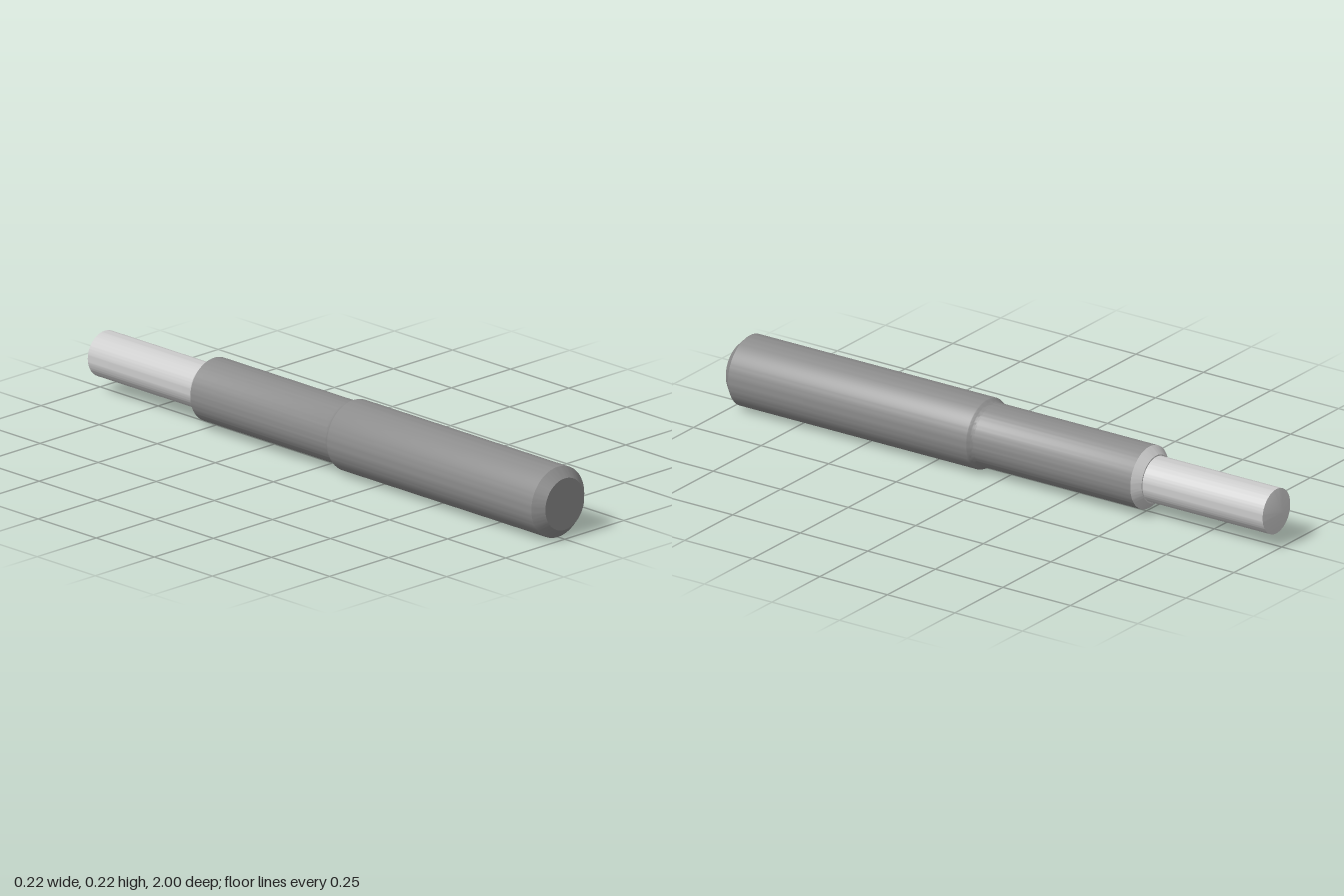
import * as THREE from 'three';
import { toCreasedNormals } from 'three/addons/utils/BufferGeometryUtils.js';

const AXIS_HEIGHT = 0.112;

// Revolve a profile of [radius, z] points, listed back to front, around the z axis
function turned(name, profile, color) {
  const points = profile.map(([r, z]) => new THREE.Vector2(r, z));
  const geometry = toCreasedNormals(new THREE.LatheGeometry(points, 96), 0.5);
  geometry.rotateX(Math.PI / 2);
  const mesh = new THREE.Mesh(geometry, new THREE.MeshStandardMaterial({ color }));
  mesh.name = name;
  mesh.position.y = AXIS_HEIGHT;
  return mesh;
}

export function createModel() {
  const group = new THREE.Group();
  group.name = 'steppedPin';

  // Bright tip: shallow point, straight pilot and bevelled shoulder
  group.add(turned('pilotTip', [
    [0, -1], [0.072, -0.98], [0.072, -0.535], [0.076, -0.535], [0.1, -0.51],
  ], 0xcccccc));

  // Dark body: neck, softly blended step, thicker shank and chamfered flat end
  const step = [];
  for (let i = 0; i <= 8; i++) {
    const t = i / 8;
    step.push([0.1 + 0.012 * t * t * (3 - 2 * t), 0.07 + 0.024 * t]);
  }
  group.add(turned('shank', [
    [0.1, -0.51], ...step, [0.112, 0.97], [0.082, 1], [0, 1],
  ], 0x8c8c8c));

  return group;
}
